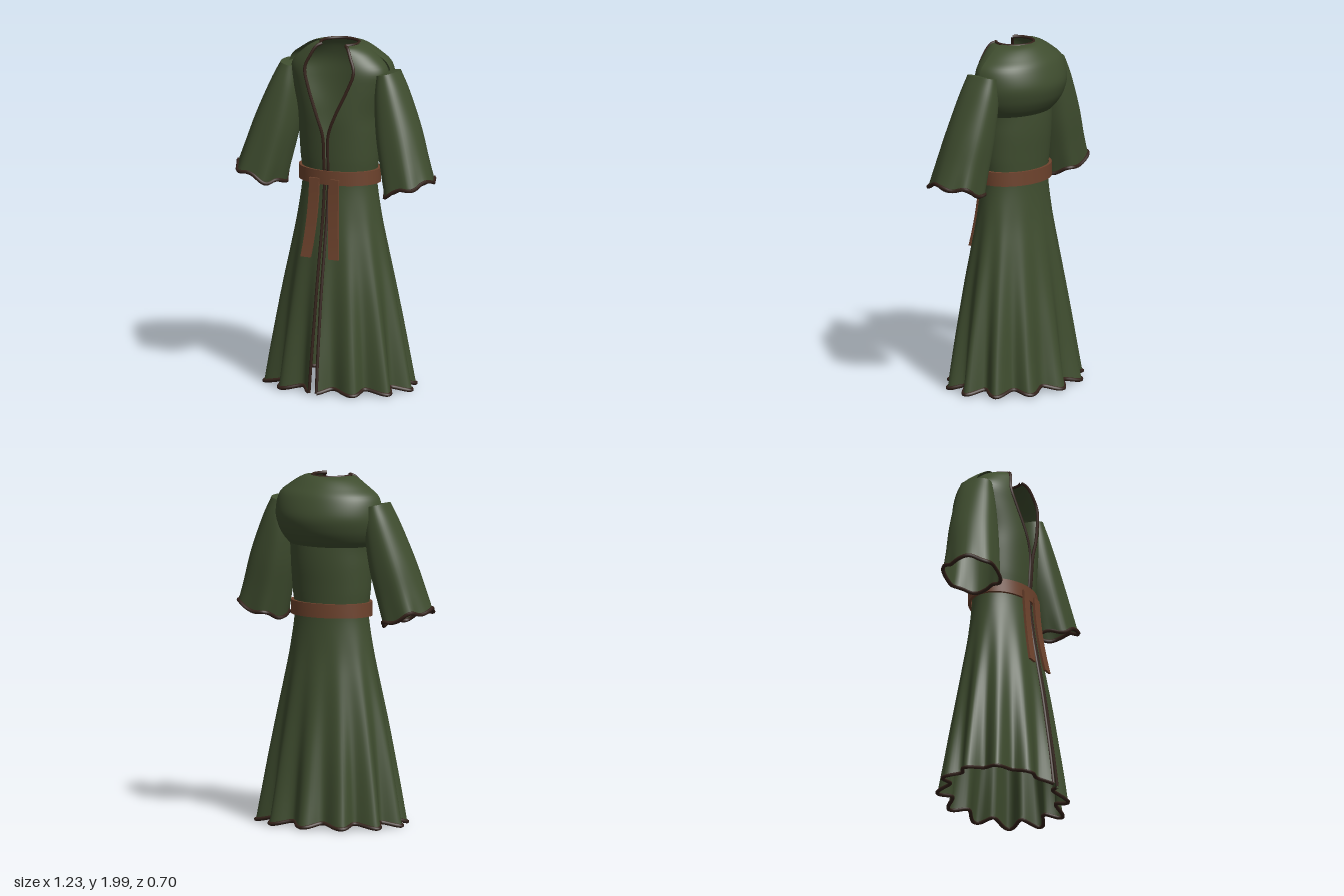
import * as THREE from 'three';
import { toCreasedNormals } from 'three/addons/utils/BufferGeometryUtils.js';

const V = (x, y, z) => new THREE.Vector3(x, y, z);

// Smooth lookup through a table of rows, by row number
function table(rows) {
  const size = rows[0].length;
  const cubic = new THREE.CubicInterpolant(rows.map((_, i) => i), rows.flat(), size, new Array(size));
  return (t) => [...cubic.evaluate(Math.min(t, rows.length - 1))];
}

// Grid surface from fn(u, v) with u and v in 0..1
function surface(fn, nu, nv, closed = false) {
  const pos = [], index = [];
  const across = closed ? nu : nu + 1;
  for (let j = 0; j <= nv; j++)
    for (let i = 0; i < across; i++) pos.push(...fn(i / nu, j / nv).toArray());
  for (let j = 0; j < nv; j++)
    for (let i = 0; i < nu; i++) {
      const k = (i + 1) % across;
      const a = j * across + i, b = j * across + k, c = a + across, d = b + across;
      index.push(a, c, b, b, c, d);
    }
  const g = new THREE.BufferGeometry();
  g.setAttribute('position', new THREE.Float32BufferAttribute(pos, 3));
  g.setIndex(index);
  g.computeVertexNormals();
  return g;
}

// Piping that follows fn(u), u in 0..1
function piping(fn, n, radius, closed = false) {
  const pts = [];
  for (let i = 0; i < (closed ? n : n + 1); i++) pts.push(fn(i / n));
  return new THREE.TubeGeometry(new THREE.CatmullRomCurve3(pts, closed), n * 2, radius, 6, closed);
}

// Robe rows: height, half width, front depth, back depth, half gap at the front
const robeRows = [
  [1.99, 0.11, 0.105, 0.105, 0.075],
  [1.975, 0.16, 0.125, 0.125, 0.1],
  [1.93, 0.225, 0.14, 0.15, 0.125],
  [1.85, 0.295, 0.158, 0.17, 0.155],
  [1.75, 0.285, 0.172, 0.175, 0.125],
  [1.6, 0.25, 0.185, 0.182, 0.06],
  [1.48, 0.243, 0.182, 0.18, 0.018],
  [1.34, 0.234, 0.175, 0.168, 0.013],
  [1.2, 0.222, 0.167, 0.16, 0.013],
  [1.0, 0.252, 0.19, 0.178, 0.013],
  [0.8, 0.295, 0.225, 0.21, 0.014],
  [0.6, 0.34, 0.26, 0.243, 0.015],
  [0.4, 0.382, 0.29, 0.278, 0.017],
  [0.2, 0.422, 0.32, 0.312, 0.02],
  [0.03, 0.455, 0.342, 0.345, 0.023],
];
const robeAt = table(robeRows);
function robePoint(u, v) {
  const [y, a, bf, bb, gap] = robeAt(v * (robeRows.length - 1));
  const angle = (2 * u - 1) * (Math.PI - Math.asin(gap / a)); // 0 is the middle of the back
  const wave = Math.cos(12 * angle);
  const flare = Math.pow(Math.max(0, (1.12 - y) / 1.1), 1.3);
  const r = 1 - 0.19 * flare * (0.5 - 0.5 * wave);
  const c = Math.cos(angle);
  const x = Math.abs(2 * u - 1) === 1 ? Math.sign(angle) * gap : a * r * Math.sin(angle);
  return V(x, y - 0.012 * wave * Math.pow(flare, 4), -c * r * (c > 0 ? bb : bf));
}

// Cape rows over the back: height, half width, depth
const capeRows = [
  [1.995, 0.108, 0.108], [1.982, 0.172, 0.15], [1.935, 0.25, 0.2], [1.88, 0.312, 0.24],
  [1.78, 0.33, 0.27], [1.7, 0.315, 0.254], [1.64, 0.285, 0.22], [1.6, 0.25, 0.184],
];
const capeAt = table(capeRows);
function capePoint(u, v) {
  const [y, a, b] = capeAt(v * (capeRows.length - 1));
  const angle = (u - 0.5) * Math.PI;
  return V(a * Math.sin(angle), y, -b * Math.cos(angle));
}

// Sleeve rows: outer x, outer y, inner x, inner y, half depth, centre z
const sleeveRows = [
  [0.36, 1.855, 0.25, 1.83, 0.095, -0.008],
  [0.42, 1.74, 0.243, 1.68, 0.118, 0.0],
  [0.505, 1.54, 0.262, 1.48, 0.137, 0.018],
  [0.562, 1.37, 0.303, 1.29, 0.147, 0.038],
  [0.6, 1.25, 0.335, 1.16, 0.155, 0.05],
];
const sleeveAt = table(sleeveRows);
const sleevePoint = (side) => (u, v) => {
  const [ox, oy, ix, iy, d, cz] = sleeveAt(v * (sleeveRows.length - 1));
  const phi = u * Math.PI * 2;
  const ripple = 1 + 0.045 * v * v * Math.cos(6 * phi);
  const round = (w) => Math.sign(w) * Math.pow(Math.abs(w), 0.85);
  const c = round(Math.cos(phi)) * ripple * 0.5, s = round(Math.sin(phi)) * ripple;
  const lift = 0.012 * v ** 4 * Math.sin(5 * phi);
  return V(side * ((ox + ix) / 2 + (ox - ix) * c), (oy + iy) / 2 + (oy - iy) * c + lift, cz + d * s);
};

export function createModel() {
  const group = new THREE.Group();
  const material = (name, color, side = THREE.FrontSide) => {
    const m = new THREE.MeshStandardMaterial({ color, side });
    m.name = name;
    return m;
  };
  const cloth = material('green cloth', 0x3f4d2f, THREE.DoubleSide);
  const trim = material('dark brown trim', 0x34221a);
  const leather = material('brown leather', 0x6e432d);
  const add = (name, geometry, mat) => {
    const mesh = new THREE.Mesh(geometry, mat);
    mesh.name = name;
    group.add(mesh);
    return mesh;
  };

  // Robe body with pleated skirt, and the cape over the shoulders
  add('robeBody', surface(robePoint, 156, 70), cloth);
  add('shoulderCape', surface(capePoint, 48, 35), cloth);

  // Piping on hem, neck and both front edges
  add('hemTrim', piping((u) => robePoint(u, 1), 144, 0.011), trim);
  add('neckTrim', piping((u) => robePoint(u, 0), 40, 0.009), trim);
  for (const u of [0, 1])
    add(u ? 'leftFrontTrim' : 'rightFrontTrim', piping((v) => robePoint(u, v), 70, 0.009), trim);

  // Sleeves with closed tops and trimmed cuffs
  for (const side of [-1, 1]) {
    const label = side > 0 ? 'left' : 'right';
    const point = sleevePoint(side);
    add(label + 'Sleeve', surface(point, 48, 24, true), cloth);
    const centre = point(0, 0).add(point(0.5, 0)).multiplyScalar(0.5);
    centre.y += 0.004;
    add(label + 'SleeveTop', surface((u, v) => centre.clone().lerp(point(u, 0), v), 48, 1, true), cloth);
    add(label + 'CuffTrim', piping((u) => point(u, 1), 48, 0.011, true), trim);
  }

  // Belt: rectangular band swept around the waist
  const band = [[0.92, 1.197], [1, 1.197], [1, 1.277], [0.92, 1.277], [0.92, 1.197]];
  const belt = new THREE.LatheGeometry(band.map(([x, y]) => new THREE.Vector2(x, y)), 64);
  belt.scale(0.244, 1, 0.182);
  add('belt', toCreasedNormals(belt, 0.6), leather);

  // Hanging belt ends, bent outward over the skirt
  for (const side of [-1, 1]) {
    const strap = new THREE.BoxGeometry(0.062, 0.45, 0.014, 1, 10, 1);
    const p = strap.attributes.position;
    for (let i = 0; i < p.count; i++) {
      const t = 0.5 - p.getY(i) / 0.45;
      const x = side < 0 ? -0.068 - 0.027 * t * t : 0.055 + 0.028 * t * t;
      p.setXYZ(i, p.getX(i) + x, 1.232 - 0.45 * t, p.getZ(i) + 0.182 + 0.02 * t + 0.036 * t * t);
    }
    strap.computeVertexNormals();
    add(side > 0 ? 'leftBeltEnd' : 'rightBeltEnd', strap, leather);
  }
  return group;
}
